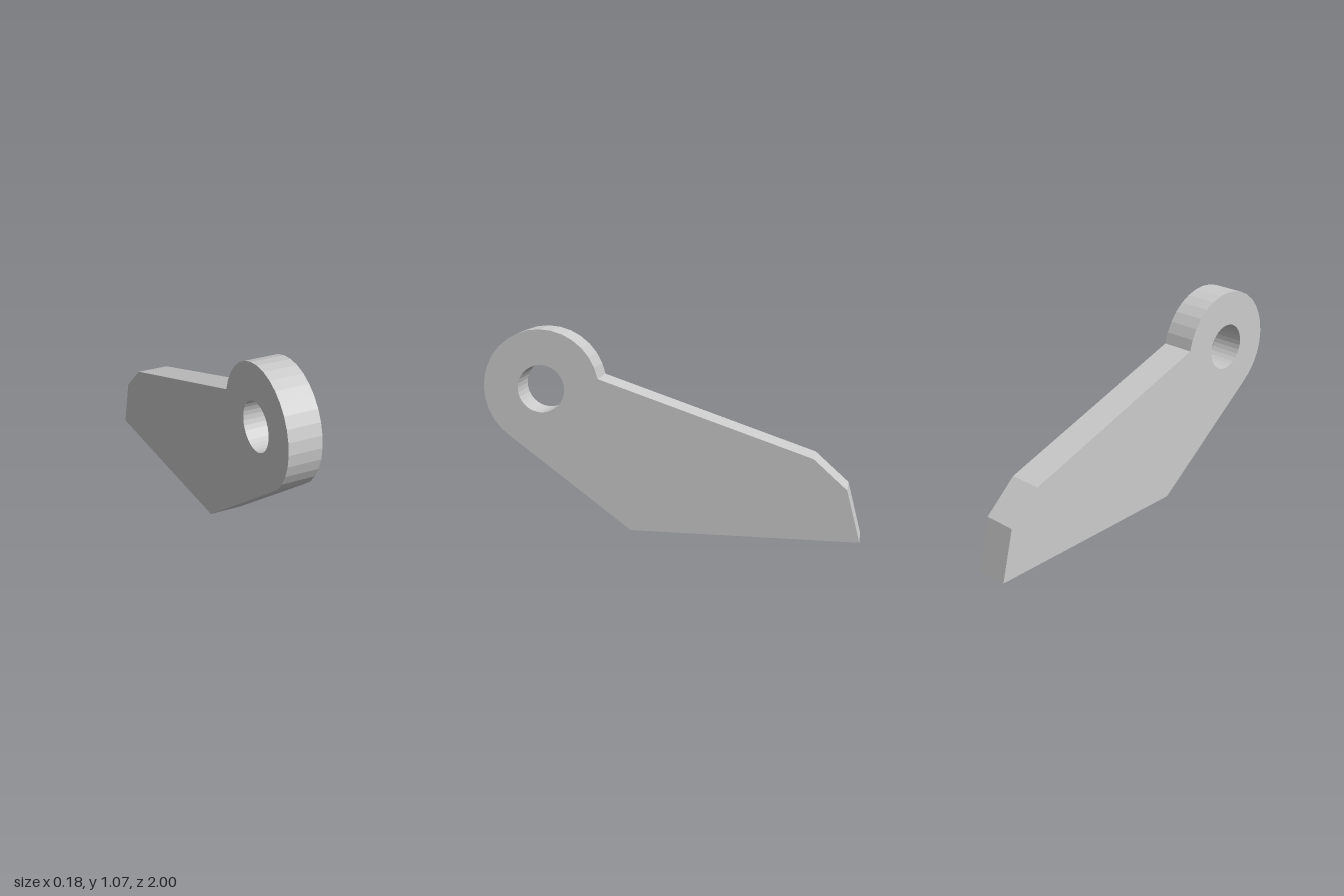
import * as THREE from 'three';

const THICKNESS = 0.176;
const EYE = { z: 0.685, y: 0.75, outer: 0.315, hole: 0.127 };
const STEP = Math.PI / 16; // 32-sided rounds

// Points on a circle around the eye, from step a to step b
function eyeArc(radius, a, b) {
  const points = [];
  for (let i = a; i <= b; i++) {
    points.push(new THREE.Vector2(EYE.z + radius * Math.cos(i * STEP), EYE.y + radius * Math.sin(i * STEP)));
  }
  return points;
}

export function createModel() {
  const group = new THREE.Group();
  group.name = 'leverBracket';

  // Side profile: flat foot, rounded eye, sloping top edge, chamfered heel
  const profile = new THREE.Shape([
    new THREE.Vector2(-1, 0),
    new THREE.Vector2(0.205, 0),
    ...eyeArc(EYE.outer, -5, 15),
    new THREE.Vector2(-0.755, 0.432),
    new THREE.Vector2(-0.93, 0.275),
  ]);

  // Pin hole through the eye
  profile.holes.push(new THREE.Path(eyeArc(EYE.hole, 0, 31).reverse()));

  // Extrude across the width, then turn the profile to run along z
  const geometry = new THREE.ExtrudeGeometry(profile, { depth: THICKNESS, bevelEnabled: false });
  geometry.translate(0, 0, -THICKNESS / 2);
  geometry.rotateY(-Math.PI / 2);

  const plate = new THREE.Mesh(geometry, new THREE.MeshStandardMaterial({ color: 0xcccccc, flatShading: true }));
  plate.name = 'bracketPlate';
  group.add(plate);
  return group;
}
